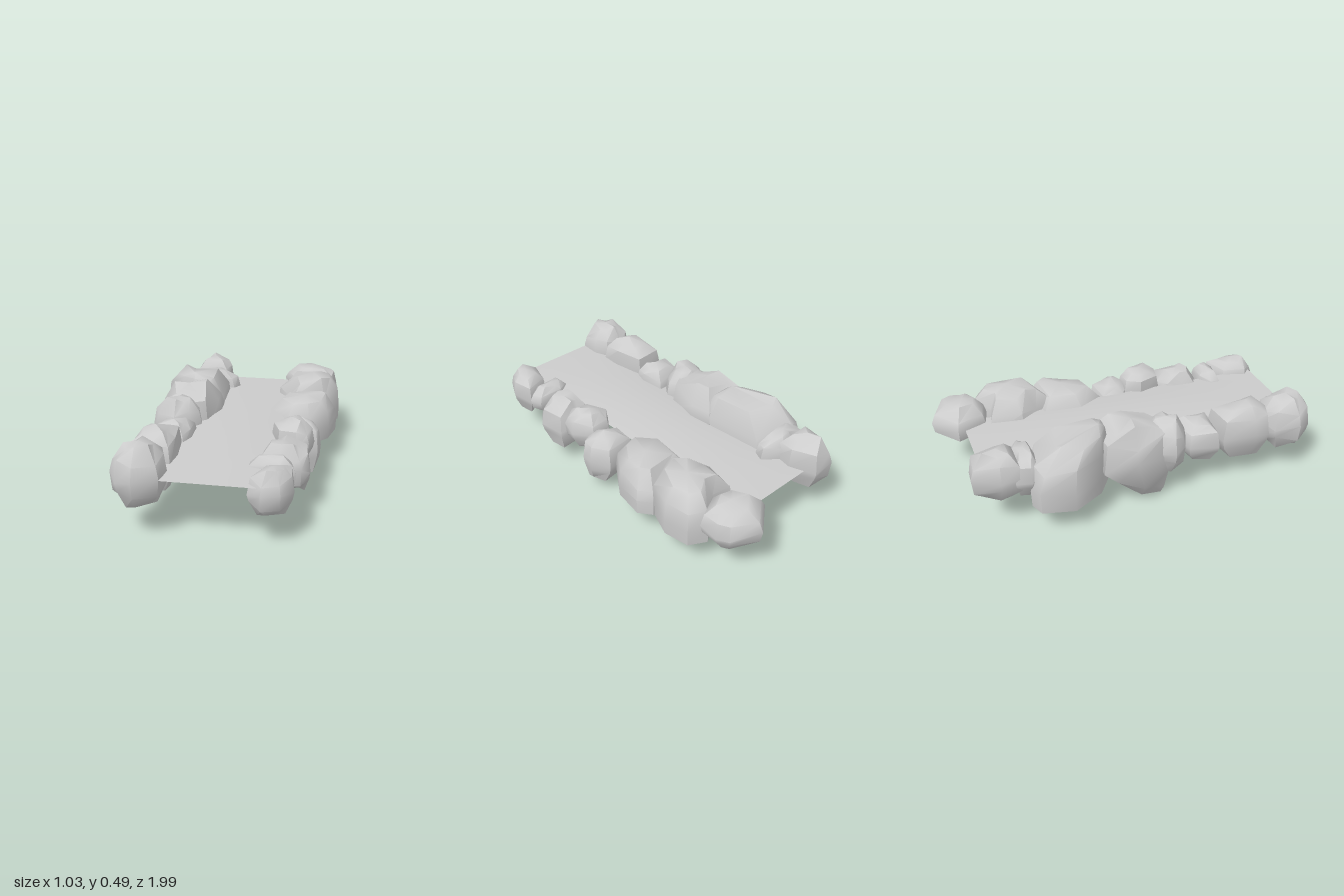
import * as THREE from 'three';
import { toCreasedNormals } from 'three/addons/utils/BufferGeometryUtils.js';

const material = new THREE.MeshStandardMaterial({ color: 0xcccccc, side: THREE.DoubleSide });

// Rock profiles from base to peak: [share of outline, share of height]
const ROUND = [[0, 0], [0.6, 0.07], [0.93, 0.28], [1, 0.5], [0.88, 0.76], [0.5, 0.95], [0, 1]];
const POINTED = [[0, 0], [0.35, 0.12], [0.75, 0.3], [1, 0.58], [0.88, 0.82], [0.5, 0.96], [0, 1]];
const SHELL = [[0.98, 0], [1, 0.3], [0.93, 0.62], [0.62, 0.92], [0, 1]]; // open below

// Lofts an x, z outline (clockwise from above) between a root and a peak point
function rockGeometry({ outline, y: [y0, y1], peak, root, profile = ROUND }) {
  const n = outline.length;
  const middle = [0, 1].map((k) => outline.reduce((sum, c) => sum + c[k], 0) / n);
  const positions = [];
  const index = [];
  profile.forEach(([share, height], k) => {
    const focus = (height > 0.5 ? peak : root) ?? middle;
    const rough = k > 0 && share > 0 ? 0.05 : 0;
    outline.forEach(([x, z], i) => {
      const h = Math.min(1, Math.max(0, height + rough * Math.sin(5 * i + 3 * k + 40 * x)));
      positions.push(
        focus[0] + (x - focus[0]) * share,
        y0 + (y1 - y0) * h,
        focus[1] + (z - focus[1]) * share);
      if (k === 0) return;
      const b = k * n + i;
      const d = k * n + (i + 1) % n;
      if (profile[k - 1][0] > 0) index.push(b - n, b, d - n);
      if (share > 0) index.push(d - n, b, d);
    });
  });
  const geo = new THREE.BufferGeometry();
  geo.setAttribute('position', new THREE.Float32BufferAttribute(positions, 3));
  geo.setIndex(index);
  return toCreasedNormals(geo, 0.8);
}

// Rows run from back to front
const rightRow = [
  { y: [0.17, 0.46], peak: [-0.3, -0.77],
    outline: [[-0.34, -0.91], [-0.23, -0.9], [-0.18, -0.76], [-0.2, -0.66], [-0.4, -0.66], [-0.4, -0.77]] },
  { y: [0.18, 0.42],
    outline: [[-0.42, -0.62], [-0.4, -0.7], [-0.31, -0.68], [-0.2, -0.7], [-0.11, -0.63], [-0.14, -0.57], [-0.27, -0.56], [-0.4, -0.57]] },
  { y: [0.14, 0.49], peak: [-0.31, -0.24], profile: SHELL,
    outline: [[-0.48, -0.6], [-0.4, -0.63], [-0.16, -0.57], [-0.13, -0.24], [-0.16, -0.17], [-0.3, -0.18], [-0.42, -0.26], [-0.52, -0.43]] },
  { y: [0, 0.48], peak: [-0.3, -0.06], root: [-0.34, 0.1], profile: POINTED,
    outline: [[-0.43, -0.25], [-0.13, -0.25], [-0.12, -0.11], [-0.16, 0.08], [-0.3, 0.16], [-0.4, 0.13], [-0.47, -0.08]] },
  { y: [0.15, 0.46], peak: [-0.31, 0.13],
    outline: [[-0.45, 0.14], [-0.39, 0.03], [-0.3, 0.01], [-0.2, 0.06], [-0.18, 0.14], [-0.23, 0.2], [-0.31, 0.25], [-0.42, 0.2]] },
  { y: [0.16, 0.4],
    outline: [[-0.39, 0.24], [-0.19, 0.2], [-0.18, 0.35], [-0.21, 0.43], [-0.3, 0.41], [-0.42, 0.4]] },
  { y: [0.13, 0.46], peak: [-0.3, 0.6],
    outline: [[-0.4, 0.43], [-0.22, 0.41], [-0.19, 0.6], [-0.2, 0.72], [-0.3, 0.74], [-0.41, 0.7], [-0.42, 0.62]] },
  { y: [0.14, 0.46],
    outline: [[-0.41, 0.74], [-0.32, 0.69], [-0.22, 0.72], [-0.19, 0.8], [-0.2, 0.92], [-0.31, 0.99], [-0.4, 0.95], [-0.45, 0.87]] },
];
const leftRow = [
  { y: [0.19, 0.41], peak: [0.32, -0.82],
    outline: [[0.14, -0.88], [0.29, -1], [0.44, -0.93], [0.47, -0.87], [0.46, -0.76], [0.32, -0.69], [0.2, -0.72]] },
  { y: [0.15, 0.44], peak: [0.35, -0.56], profile: SHELL,
    outline: [[0.17, -0.7], [0.28, -0.68], [0.4, -0.76], [0.49, -0.71], [0.51, -0.57], [0.44, -0.4], [0.25, -0.31], [0.21, -0.42], [0.14, -0.52]] },
  { y: [0.15, 0.39], peak: [0.34, -0.25], profile: SHELL,
    outline: [[0.17, -0.4], [0.46, -0.44], [0.51, -0.37], [0.48, -0.2], [0.38, -0.06], [0.25, -0.02], [0.13, -0.17]] },
  { y: [0.06, 0.36], root: [0.39, 0.1],
    outline: [[0.23, -0.03], [0.41, -0.05], [0.46, 0.06], [0.45, 0.13], [0.35, 0.18], [0.22, 0.1]] },
  { y: [0.18, 0.41], peak: [0.32, 0.22],
    outline: [[0.21, 0.2], [0.27, 0.12], [0.38, 0.12], [0.44, 0.23], [0.42, 0.32], [0.36, 0.35], [0.26, 0.33]] },
  { y: [0.1, 0.37], root: [0.37, 0.39],
    outline: [[0.22, 0.37], [0.32, 0.32], [0.43, 0.35], [0.45, 0.5], [0.41, 0.55], [0.3, 0.59], [0.19, 0.55], [0.19, 0.46]] },
  { y: [0.18, 0.36],
    outline: [[0.16, 0.63], [0.24, 0.58], [0.38, 0.6], [0.4, 0.67], [0.33, 0.71], [0.16, 0.69]] },
  { y: [0.14, 0.38],
    outline: [[0.24, 0.74], [0.39, 0.68], [0.41, 0.82], [0.36, 0.92], [0.27, 0.95], [0.2, 0.88]] },
];

export function createModel() {
  const model = new THREE.Group();

  // Thin path sheet, slightly raised along its middle and flat at both ends
  const pathGeo = new THREE.PlaneGeometry(0.5, 1.76, 6, 8);
  pathGeo.rotateX(-Math.PI / 2);
  const p = pathGeo.attributes.position;
  for (let i = 0; i < p.count; i++) {
    const crown = (1 - (p.getX(i) / 0.25) ** 2) * Math.cos(p.getZ(i) / 0.88 * Math.PI / 2);
    p.setY(i, 0.302 + 0.022 * crown);
  }
  pathGeo.translate(0, 0, 0.04);
  pathGeo.computeVertexNormals();
  const path = new THREE.Mesh(pathGeo, material);
  path.name = 'path';
  model.add(path);

  // Rock borders along both sides
  for (const [name, row] of [['rightRocks', rightRow], ['leftRocks', leftRow]]) {
    const border = new THREE.Group();
    border.name = name;
    row.forEach((spec, i) => {
      const mesh = new THREE.Mesh(rockGeometry(spec), material);
      mesh.name = 'rock' + (i + 1);
      border.add(mesh);
    });
    model.add(border);
  }
  return model;
}
